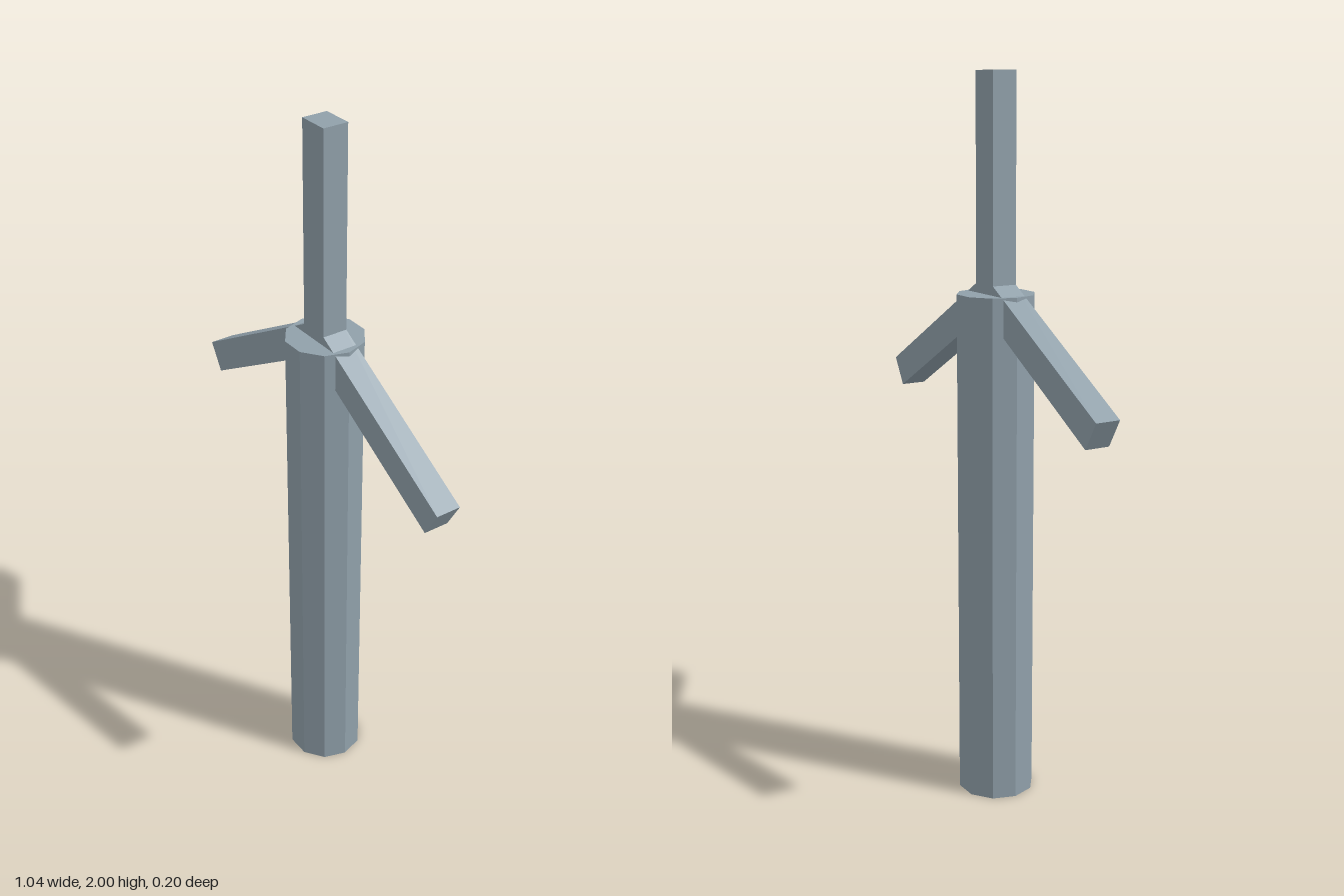
import * as THREE from 'three';

export function createModel() {
  const model = new THREE.Group();
  const greyBlue = new THREE.MeshStandardMaterial({ color: 0x90a0aa, flatShading: true });
  greyBlue.name = 'greyBlue';

  const hubHeight = 1.424;
  const bladeLength = 2 - hubHeight;

  // Ten-sided tower with a corner on each side of the x axis
  const towerGeometry = new THREE.CylinderGeometry(0.107, 0.107, hubHeight, 10);
  towerGeometry.rotateY(Math.PI / 2);
  towerGeometry.translate(0, hubHeight / 2, 0);
  const tower = new THREE.Mesh(towerGeometry, greyBlue);
  tower.name = 'tower';
  model.add(tower);

  // Three blades spread evenly around the tower top
  const bladeGeometry = new THREE.BoxGeometry(0.0865, bladeLength, 0.071);
  bladeGeometry.translate(0, bladeLength / 2, 0);
  const names = ['topBlade', 'rightBlade', 'leftBlade'];
  names.forEach((name, i) => {
    const blade = new THREE.Mesh(bladeGeometry, greyBlue);
    blade.name = name;
    blade.position.y = hubHeight;
    blade.rotation.z = (i * Math.PI * 2) / 3;
    model.add(blade);
  });

  return model;
}
